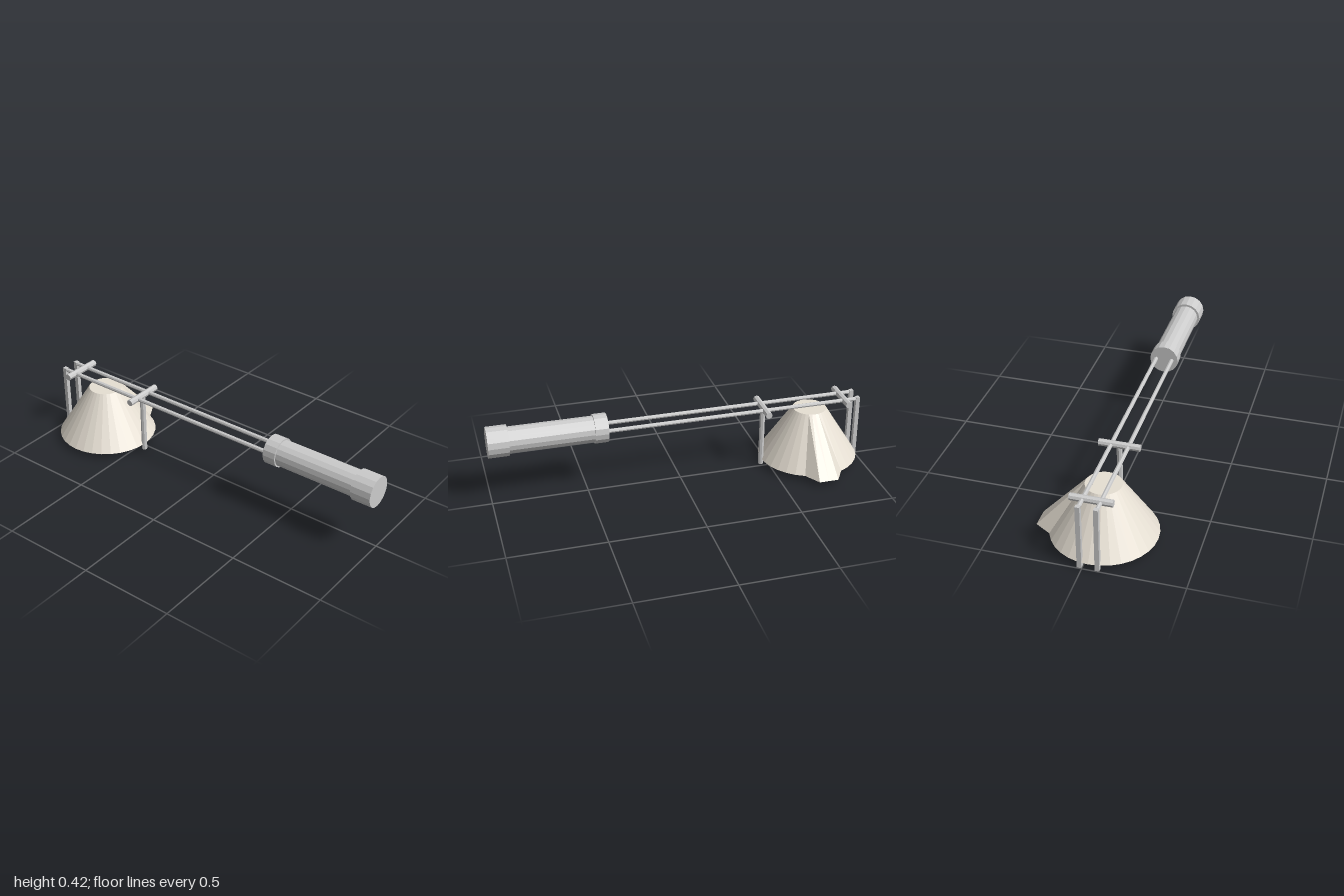
import * as THREE from 'three';

const grey = new THREE.MeshStandardMaterial({ color: 0xcccccc, flatShading: true });
const cream = new THREE.MeshStandardMaterial({ color: 0xe6dfd3, flatShading: true, side: THREE.DoubleSide });

const BAR_Y = 0.342; // height of rods and handle axis
const MID_Z = 0.03;  // centre line of the model

function add(group, name, geometry, x, y, z, material = grey) {
  const mesh = new THREE.Mesh(geometry, material);
  mesh.name = name;
  mesh.position.set(x, y, z);
  group.add(mesh);
  return mesh;
}

// Cylinder lying along x, from x0 to x1
function barX(group, name, x0, x1, radius, sides, z) {
  const geo = new THREE.CylinderGeometry(radius, radius, x1 - x0, sides).rotateZ(Math.PI / 2);
  return add(group, name, geo, (x0 + x1) / 2, BAR_Y, z);
}

// Hollow conical cup whose lower rim is pulled back into a pouring lip
function cupGeometry() {
  const profile = [[0, 0.29], [0.078, 0.29], [0.247, 0.03], [0.267, 0.03], [0.09, 0.305], [0, 0.305]]
    .map(([r, y]) => new THREE.Vector2(r, y));
  const geo = new THREE.LatheGeometry(profile, 32);
  const pos = geo.attributes.position;
  for (let i = 0; i < pos.count; i++) {
    const x = pos.getX(i), z = pos.getZ(i);
    if (pos.getY(i) < 0.05 && z < 0 && Math.abs(Math.atan2(x, -z)) < 0.21) {
      pos.setZ(i, Math.hypot(x, z) > 0.255 ? -0.329 : -0.307);
    }
  }
  geo.computeVertexNormals();
  return geo;
}

export function createModel() {
  const model = new THREE.Group();
  model.name = 'longHandledCup';

  add(model, 'cup', cupGeometry(), -0.729, 0, MID_Z, cream);

  // Twin rods, each ending in a square leg
  for (const side of [-1, 1]) {
    const z = MID_Z + side * 0.0435;
    barX(model, 'rod', -0.99, 0.39, 0.011, 8, z);
    add(model, 'endLeg', new THREE.BoxGeometry(0.022, 0.353, 0.023), -0.986, 0.1765, z);
  }

  // Cross bars over the rods
  for (const x of [-0.912, -0.462]) {
    add(model, 'crossBar', new THREE.CylinderGeometry(0.018, 0.018, 0.21, 8).rotateX(Math.PI / 2), x, BAR_Y, 0.028);
  }

  // Single leg under the inner cross bar
  add(model, 'middleLeg', new THREE.CylinderGeometry(0.015, 0.015, 0.34, 8), -0.462, 0.17, 0.028);

  // Handle grip with a collar at each end
  barX(model, 'handleCollar', 0.385, 0.455, 0.077, 16, MID_Z);
  barX(model, 'handleGrip', 0.455, 0.895, 0.069, 16, MID_Z);
  barX(model, 'handleEnd', 0.893, 1, 0.081, 16, MID_Z);

  return model;
}
